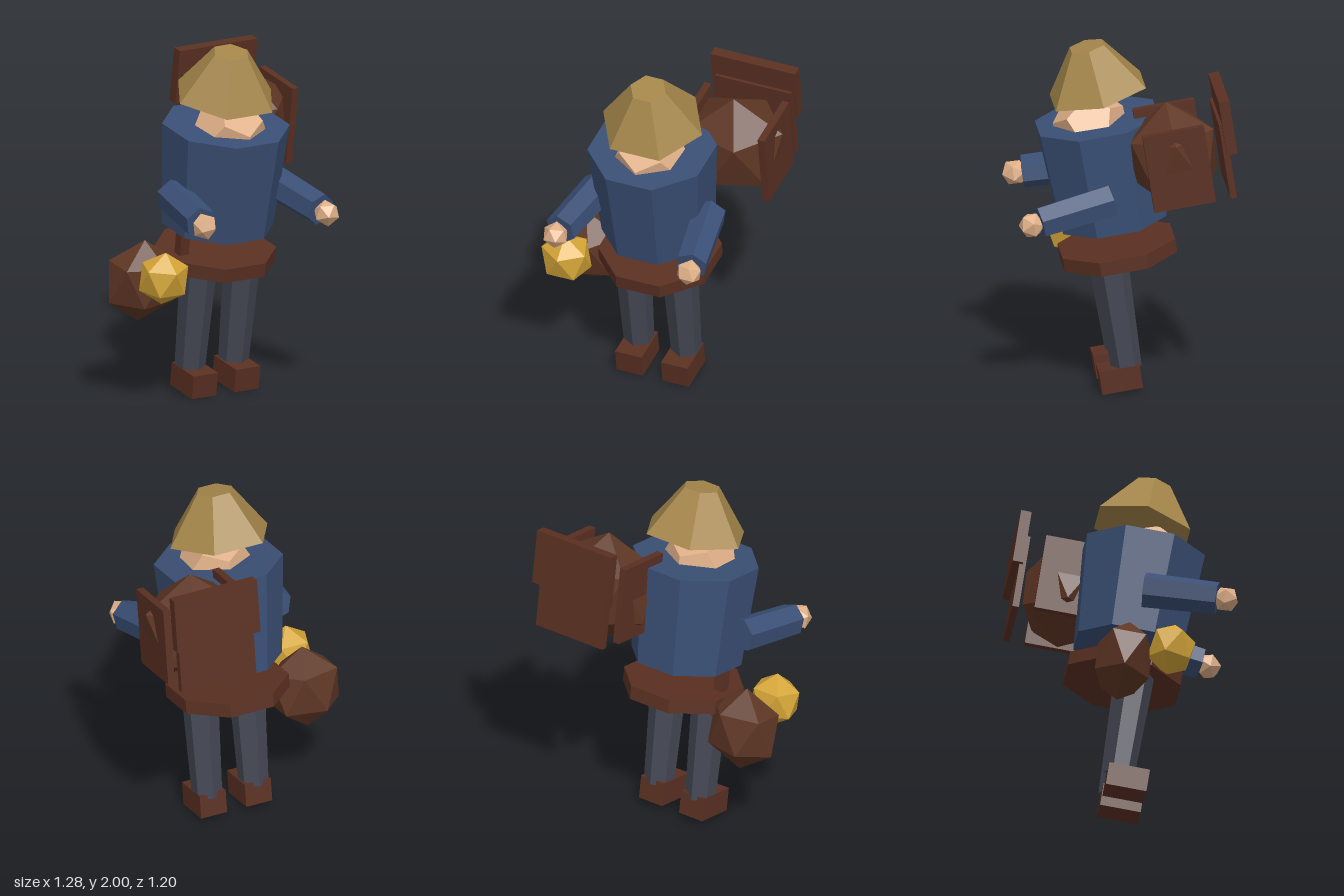
import * as THREE from 'three';

const LEAN = 0.15; // forward lean shared by body and gear
const CX = 0.009;  // body centre line

export function createModel() {
  const root = new THREE.Group();
  root.name = 'traveller';

  const mat = (name, color) => {
    const m = new THREE.MeshStandardMaterial({ color, flatShading: true });
    m.name = name;
    return m;
  };
  const coat = mat('blue coat', 0x3a4f75);
  const skin = mat('skin', 0xe0b088);
  const straw = mat('straw', 0xa5864a);
  const trousers = mat('grey trousers', 0x444753);
  const leather = mat('brown leather', 0x5e3624);
  const wood = mat('dark brown wood', 0x5a3022);
  const gold = mat('lantern gold', 0xd4a537);

  const add = (parent, name, geo, material, x, y, z, tilt = 0) => {
    const mesh = new THREE.Mesh(geo, material);
    mesh.name = name;
    mesh.position.set(x, y, z);
    mesh.rotation.x = tilt;
    parent.add(mesh);
    return mesh;
  };
  // prism with a flat face (or a corner) turned to the front
  const prism = (rTop, rBottom, h, sides, turn = 0) =>
    new THREE.CylinderGeometry(rTop, rBottom, h, sides).rotateY(turn);
  // icosahedron standing on one corner
  const gem = (r, sx = 1, sz = 1, turn = 0) =>
    new THREE.IcosahedronGeometry(r, 0)
      .rotateZ(-Math.atan(2 / (1 + Math.sqrt(5)))).rotateY(turn).scale(sx, 1, sz);

  // leaning body
  const body = new THREE.Group();
  body.name = 'body';
  body.position.x = CX;
  body.rotation.x = LEAN;
  root.add(body);
  add(body, 'torso', prism(0.361, 0.316, 0.597, 8, Math.PI / 8), coat, 0, 1.2575, -0.12);
  add(body, 'belt', prism(0.344, 0.344, 0.08, 8, Math.PI / 8), wood, 0, 0.782, -0.12);
  for (const [side, s] of [['left', 1], ['right', -1]]) {
    add(body, side + 'Leg', prism(0.103, 0.085, 0.62, 6), trousers, s * 0.143, 0.44, -0.057);
    add(body, side + 'Boot', new THREE.BoxGeometry(0.16, 0.135, 0.23), wood, s * 0.139, 0.088, -0.011);
  }

  // head and hat tip a little further forward
  add(root, 'head', new THREE.DodecahedronGeometry(0.215, 0), skin, CX + 0.003, 1.505, 0.147, 0.225);
  add(root, 'hat', prism(0.106, 0.299, 0.274, 6, Math.PI / 6), straw, CX, 1.847, 0.138, 0.228);

  // arms reach forward, each ending in a faceted hand
  const arm = (side, from, to) => {
    const a = new THREE.Vector3(...from), b = new THREE.Vector3(...to);
    const dir = b.clone().sub(a), len = dir.length();
    dir.normalize();
    const mid = a.clone().lerp(b, 0.5);
    const mesh = add(root, side + 'Arm', prism(0.093, 0.1, len, 6), coat, mid.x, mid.y, mid.z);
    mesh.quaternion.setFromUnitVectors(new THREE.Vector3(0, 1, 0), dir);
    const h = b.clone().addScaledVector(dir, 0.05);
    const hand = add(root, side + 'Hand', new THREE.IcosahedronGeometry(0.075, 0), skin, h.x, h.y, h.z);
    hand.quaternion.copy(mesh.quaternion);
  };
  arm('left', [0.338, 1.18, 0.07], [0.403, 1.09, 0.475]);
  arm('right', [-0.322, 1.185, 0.08], [-0.387, 1.125, 0.48]);

  // backpack: sack between two side panels, boards behind
  const pack = new THREE.Group();
  pack.name = 'backpack';
  pack.position.set(0.351, 1.44, -0.28);
  pack.rotation.x = LEAN;
  root.add(pack);
  add(pack, 'sack', gem(0.319, 1, 0.86), leather, 0, 0, 0);
  for (const [side, s] of [['left', 1], ['right', -1]])
    add(pack, side + 'Panel', new THREE.BoxGeometry(0.041, 0.45, 0.347), wood, s * 0.235, 0, 0);
  add(pack, 'upperBoard', new THREE.BoxGeometry(0.511, 0.315, 0.06), wood, 0, 0.19, -0.305);
  add(pack, 'lowerBoard', new THREE.BoxGeometry(0.46, 0.44, 0.037), wood, 0, -0.011, -0.276);

  // hip pouch with strap, and the lantern
  add(root, 'pouch', gem(0.242, 0.94, 0.74), leather, -0.443, 0.687, -0.05, LEAN);
  add(root, 'pouchStrap', new THREE.BoxGeometry(0.058, 0.3, 0.058), wood, -0.228, 0.815, 0.025, LEAN);
  add(root, 'lantern', gem(0.154, 1, 0.92, -Math.PI / 2), gold, -0.465, 0.76, 0.215, LEAN);

  return root;
}
